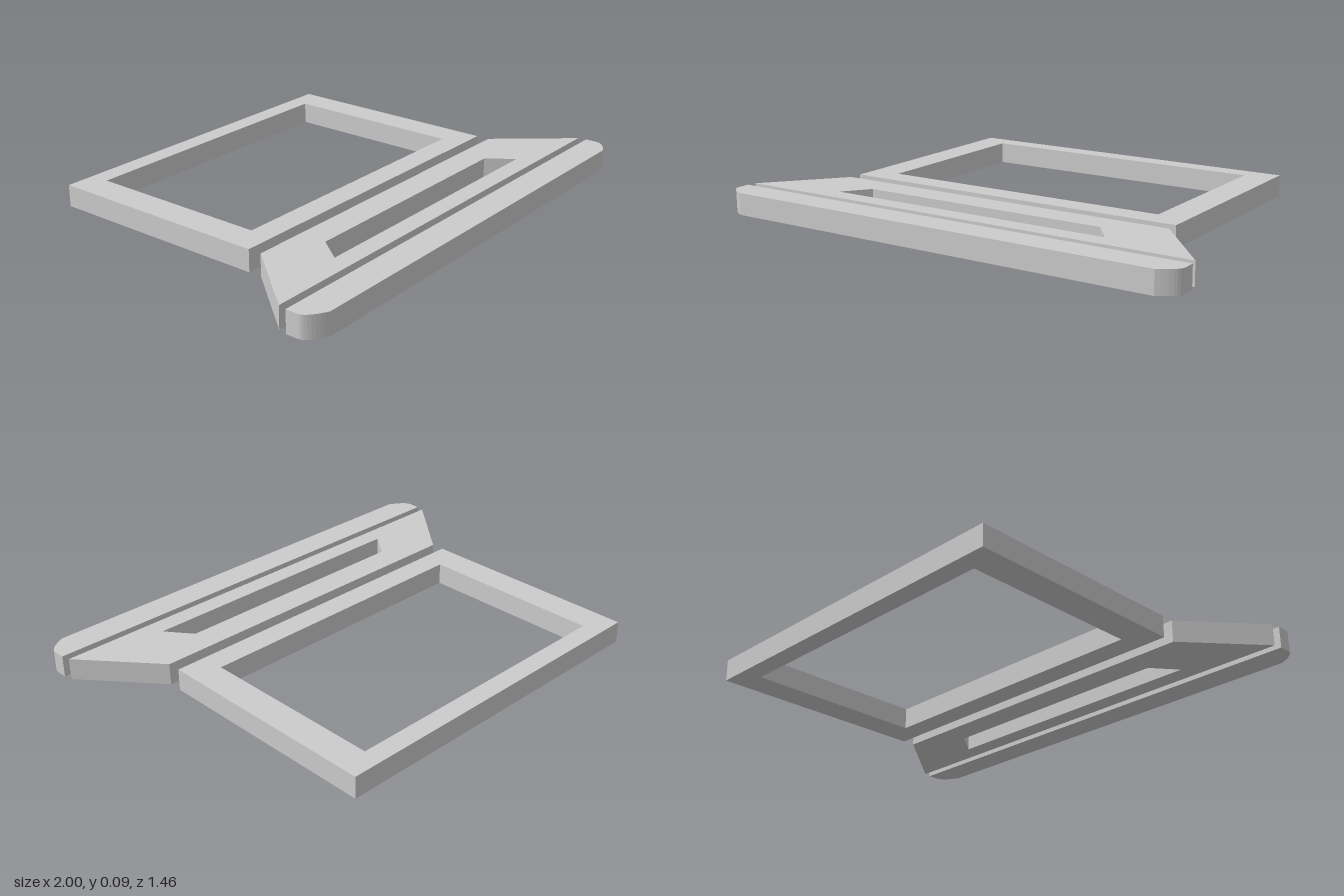
import * as THREE from 'three';

const HEIGHT = 0.09;

// Closed outline mirrored across x = 0, from right-hand [x, z] points listed back to front.
function mirrored(points, Type) {
  const left = points.map(([x, z]) => [-x, z]).reverse();
  return new Type([...points, ...left].map(([x, z]) => new THREE.Vector2(x, z)));
}

// Flat slab lying on the ground, with an optional cut-out.
function slab(name, outline, hole, material) {
  const shape = mirrored(outline, THREE.Shape);
  if (hole) shape.holes.push(mirrored(hole, THREE.Path));
  const geometry = new THREE.ExtrudeGeometry(shape, { depth: HEIGHT, bevelEnabled: false });
  geometry.rotateX(Math.PI / 2).translate(0, HEIGHT, 0);
  const mesh = new THREE.Mesh(geometry, material);
  mesh.name = name;
  return mesh;
}

export function createModel() {
  const group = new THREE.Group();
  group.name = 'laptopIcon';
  const material = new THREE.MeshStandardMaterial({ color: 0xcccccc });

  // Rectangular screen surround
  group.add(slab('screenFrame',
    [[0.742, -0.733], [0.742, 0.22]],
    [[0.617, -0.652], [0.617, 0.12]], material));

  // Tapered keyboard deck with a slot
  group.add(slab('keyboardDeck',
    [[0.742, 0.275], [0.993, 0.576]],
    [[0.527, 0.39], [0.608, 0.497]], material));

  // Front edge with rounded front corners
  const corner = new THREE.CubicBezierCurve(
    new THREE.Vector2(1, 0.66), new THREE.Vector2(1, 0.685),
    new THREE.Vector2(0.965, 0.71), new THREE.Vector2(0.925, 0.73));
  const cornerPoints = corner.getPoints(8).map((p) => [p.x, p.y]);
  group.add(slab('frontEdge', [[1, 0.61], ...cornerPoints], null, material));

  return group;
}
